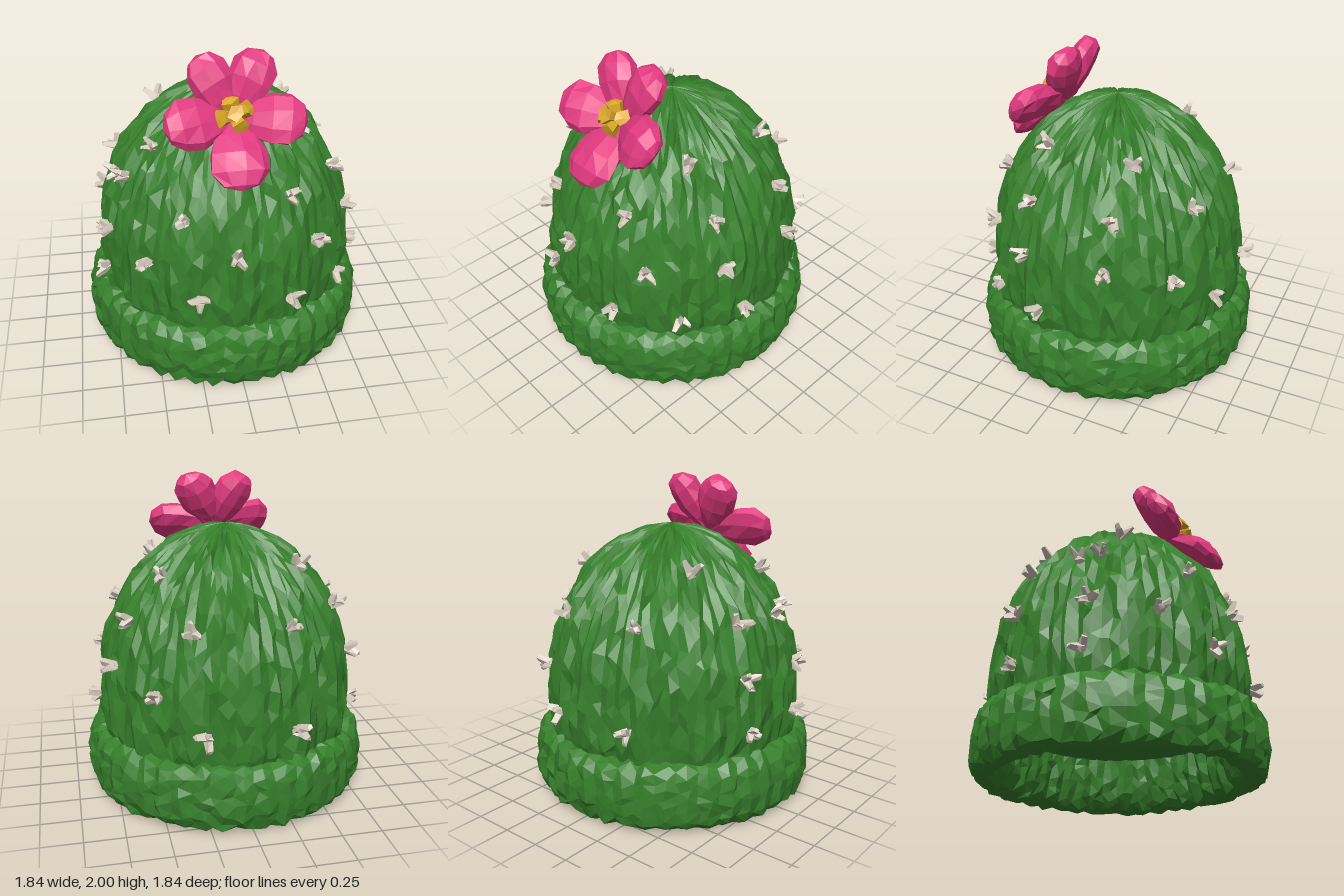
import * as THREE from 'three';
import { mergeVertices } from 'three/addons/utils/BufferGeometryUtils.js';

const mat = (name, color) => {
  const m = new THREE.MeshStandardMaterial({ color });
  m.name = name;
  return m;
};

let seed = 7;
const rand = () => {
  seed = (seed * 16807) % 2147483647;
  return seed / 2147483647;
};
const jit = (a) => (rand() * 2 - 1) * a;

// Faceted copy of a geometry, its corners moved by a rule
function facet(geo, rule) {
  geo.deleteAttribute('uv');
  geo.deleteAttribute('normal');
  const g = mergeVertices(geo, 1e-4);
  const p = g.attributes.position;
  const v = new THREE.Vector3();
  for (let i = 0; i < p.count; i++) {
    rule(v.fromBufferAttribute(p, i));
    p.setXYZ(i, v.x, v.y, v.z);
  }
  const out = g.toNonIndexed();
  out.computeVertexNormals();
  return out;
}

const curve = (pts) => new THREE.SplineCurve(pts.map(([r, y]) => new THREE.Vector2(r, y)));

// Knitted surface of revolution: alternating ribs, staggered rows, uneven stitches
function knitShell(profile, cols, rows, rib, rough, lobes) {
  const grid = [];
  for (let j = 0; j <= rows; j++) {
    const row = [];
    for (let i = 0; i < cols; i++) {
      const inner = j > 0 && j < rows;
      const stagger = inner ? (i % 2 ? 0.25 : -0.25) + jit(0.3) : 0;
      const t = (j + stagger) / rows;
      const p = profile.getPointAt(t);
      const tan = profile.getTangentAt(t);
      const fade = Math.min(1, p.x / 0.4);
      const a = ((i + jit(0.32)) / cols) * Math.PI * 2;
      const d = fade * ((i % 2 ? rib : -rib) + jit(rough) + lobes * Math.cos(a * 14));
      const r = Math.max(0, p.x + tan.y * d);
      row.push([r * Math.sin(a), Math.max(0.005, p.y - tan.x * d), r * Math.cos(a)]);
    }
    grid.push(row);
  }
  const pos = [];
  for (let j = 0; j < rows; j++) {
    for (let i = 0; i < cols; i++) {
      const n = (i + 1) % cols;
      const a = grid[j][i], b = grid[j][n], c = grid[j + 1][n], d = grid[j + 1][i];
      const tris = i % 2 ? [a, b, c, a, c, d] : [a, b, d, b, c, d];
      for (const q of tris) pos.push(...q);
    }
  }
  const g = new THREE.BufferGeometry();
  g.setAttribute('position', new THREE.Float32BufferAttribute(pos, 3));
  g.computeVertexNormals();
  return g;
}

// Puffy petal growing along +y, cupped toward +z
function petalGeometry(length, width, thickness, cup) {
  return facet(new THREE.SphereGeometry(1, 9, 6), (v) => {
    const t = (v.y + 1) / 2;
    const w = 0.6 + 0.5 * t;
    v.set(
      v.x * width * w + jit(0.008),
      length * t,
      v.z * thickness * w + cup * Math.sin((t * Math.PI) / 2) + jit(0.008)
    );
  });
}

export function createModel() {
  const model = new THREE.Group();
  const green = mat('knit green', 0x37802c);
  const pink = mat('petal pink', 0xe23a80);
  const yellow = mat('stamen yellow', 0xdfaa28);
  const bone = mat('spine beige', 0xd9cdc0);
  const add = (parent, name, geo, material) => {
    const m = new THREE.Mesh(geo, material);
    m.name = name;
    parent.add(m);
    return m;
  };

  // Domed crown
  const domeProfile = curve([
    [0.78, 0.34], [0.805, 0.45], [0.812, 0.62], [0.79, 0.88], [0.74, 1.08], [0.665, 1.25],
    [0.55, 1.42], [0.39, 1.57], [0.19, 1.675], [0.001, 1.715],
  ]);
  add(model, 'crown', knitShell(domeProfile, 104, 15, 0.008, 0.017, 0.012), green);

  // Rolled cuff, from the inner wall round the bottom to the outside
  const cuffProfile = curve([
    [0.67, 0.38], [0.69, 0.16], [0.735, 0.05], [0.81, 0.018], [0.87, 0.035], [0.898, 0.12],
    [0.904, 0.22], [0.893, 0.34], [0.857, 0.414], [0.78, 0.43],
  ]);
  add(model, 'cuff', knitShell(cuffProfile, 88, 14, 0.009, 0.011, 0), green);

  // Flat inside of the hat
  const lining = add(model, 'lining', new THREE.CircleGeometry(0.7, 48), green);
  lining.rotation.x = Math.PI / 2;
  lining.position.y = 0.36;

  // Spine clusters, each given as x, y, z near the crown
  const spots = [
    [-0.5, 1.43, 0.31], [0.5, 1.48, 0.3], [-0.72, 1.23, 0.3], [-0.7, 1.2, 0.14], [0.7, 1.2, 0.28],
    [-0.34, 1.13, 0.7], [0.31, 1.22, 0.65], [-0.04, 0.93, 0.82], [0.5, 0.91, 0.68],
    [-0.57, 0.82, 0.61], [-0.8, 0.88, 0.27], [0.8, 0.9, 0.27], [-0.26, 0.64, 0.79],
    [-0.83, 0.57, 0.25], [0.31, 0.58, 0.79], [0.68, 0.57, 0.54], [0.87, 0.57, 0.16],
    [-0.45, 1.48, -0.35], [0.49, 1.45, -0.35], [-0.68, 1.2, -0.22], [0.67, 1.19, -0.27],
    [-0.28, 1.2, -0.69], [0.35, 1.19, -0.69], [-0.8, 0.9, -0.27], [0.78, 0.9, -0.27],
    [0.56, 0.82, -0.64], [-0.3, 0.61, -0.82], [0.28, 0.61, -0.82], [-0.84, 0.57, -0.25],
  ];
  const outline = domeProfile.getSpacedPoints(200);
  const up = new THREE.Vector3(0, 1, 0);
  spots.forEach(([x, y, z]) => {
    const k = outline.findIndex((p) => p.y >= y);
    const tan = domeProfile.getTangentAt(k / 200);
    const a = Math.atan2(x, z);
    const cluster = new THREE.Group();
    cluster.name = 'spineCluster';
    cluster.position.set(outline[k].x * Math.sin(a), y, outline[k].x * Math.cos(a));
    const out = new THREE.Vector3(tan.y * Math.sin(a), -tan.x, tan.y * Math.cos(a));
    cluster.quaternion.setFromUnitVectors(up, out.normalize());
    const spin = rand() * 6;
    for (let i = 0; i < 3; i++) {
      const geo = facet(new THREE.CylinderGeometry(0.017, 0.034, 0.085, 4), (v) => {
        v.x += jit(0.007);
        v.y += 0.042 + jit(0.01);
        v.z += jit(0.007);
      });
      const spine = add(cluster, 'spine', geo, bone);
      spine.rotation.set(0, spin + (i * Math.PI * 2) / 3, 0.6 + jit(0.35));
      spine.scale.y = 0.85 + rand() * 0.4;
    }
    model.add(cluster);
  });

  // Flower tilted against the front of the crown
  const flower = new THREE.Group();
  flower.name = 'flower';
  flower.position.set(0, 1.63, 0.37);
  flower.rotation.x = -0.61;
  model.add(flower);
  // Each petal: angle, length, half width, half thickness, cup
  [
    [61, 0.41, 0.155, 0.105, 0.1],
    [119, 0.4, 0.155, 0.105, 0.1],
    [-9, 0.42, 0.18, 0.095, 0.12],
    [189, 0.42, 0.18, 0.095, 0.12],
    [-90, 0.44, 0.2, 0.09, 0.12],
  ].forEach(([deg, ...size]) => {
    const petal = add(flower, 'petal', petalGeometry(...size), pink);
    petal.rotation.z = ((deg - 90) * Math.PI) / 180;
  });

  // Chunky stamens: four leaning outward round an upright one
  for (let i = 0; i < 5; i++) {
    const geo = facet(new THREE.CylinderGeometry(0.052, 0.036, 0.11, 5), (v) => {
      v.x += jit(0.01);
      v.y += 0.055 + jit(0.01);
      v.z += jit(0.01);
    });
    const stamen = add(flower, 'stamen', geo, yellow);
    const a = 0.3 + (i * Math.PI) / 2;
    const lean = i < 4 ? 0.8 : 0;
    stamen.position.z = 0.055;
    stamen.quaternion.setFromUnitVectors(
      up,
      new THREE.Vector3(Math.cos(a) * lean, Math.sin(a) * lean, 0.6).normalize()
    );
  }
  return model;
}
